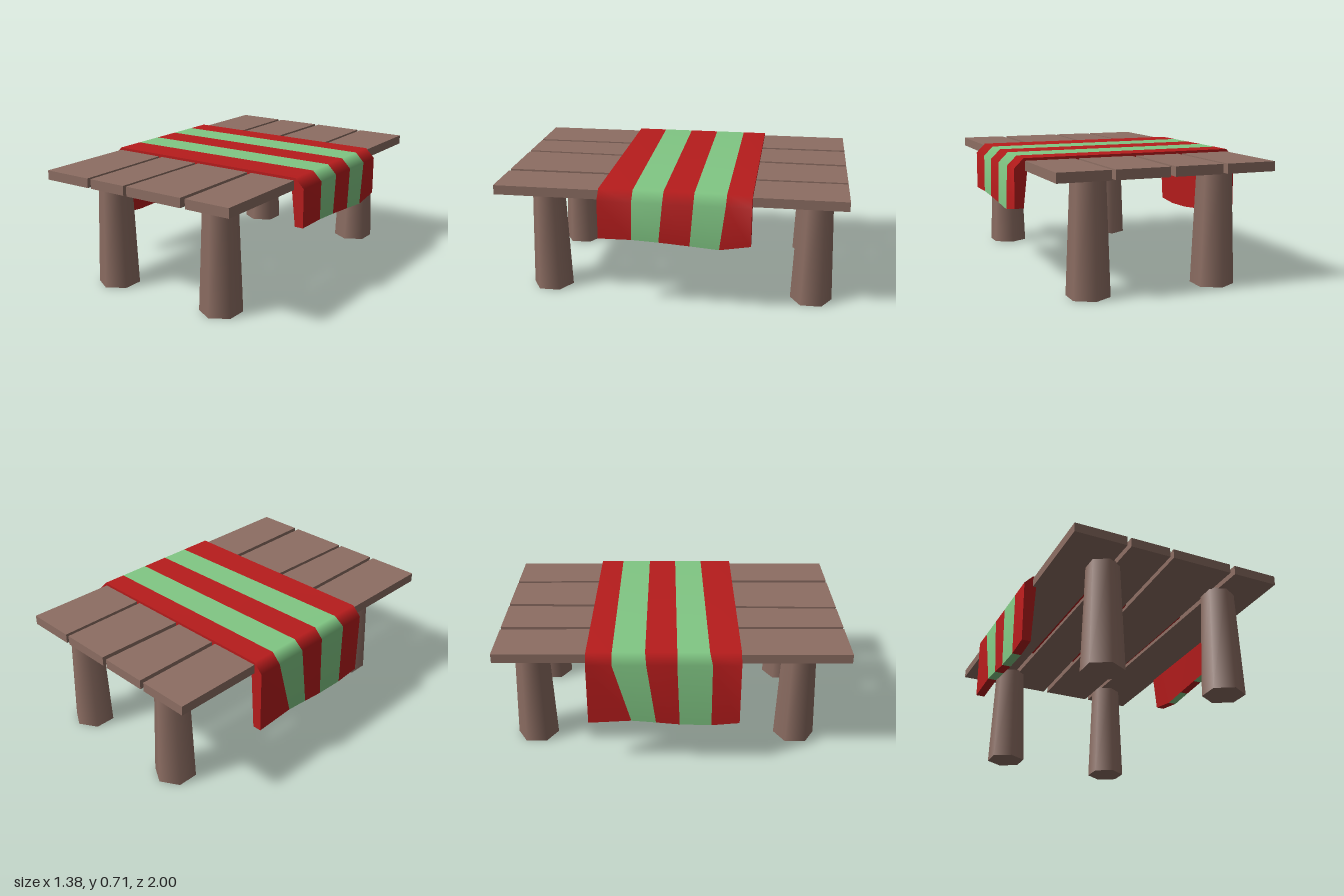
import * as THREE from 'three';

const brown = new THREE.MeshStandardMaterial({ color: 0x8d6e63 });
brown.name = 'brown wood';
const red = new THREE.MeshStandardMaterial({ color: 0xb71c1c });
red.name = 'red cloth';
const green = new THREE.MeshStandardMaterial({ color: 0x81c784 });
green.name = 'green cloth';

const PLANK_BOTTOM = 0.645, PLANK_TOP = 0.7;

// Plank with slightly skewed long edges: [left, right] at the back and at the front
function makePlank(back, front) {
  const geo = new THREE.BoxGeometry(1, PLANK_TOP - PLANK_BOTTOM, 2);
  const p = geo.attributes.position;
  for (let i = 0; i < p.count; i++) {
    const end = p.getZ(i) > 0 ? front : back;
    p.setX(i, end[p.getX(i) > 0 ? 1 : 0]);
  }
  geo.translate(0, (PLANK_TOP + PLANK_BOTTOM) / 2, 0);
  geo.computeVertexNormals();
  const mesh = new THREE.Mesh(geo, brown);
  mesh.name = 'plank';
  return mesh;
}

function makeLeg(x, z) {
  const h = PLANK_BOTTOM + 0.01;
  const mesh = new THREE.Mesh(new THREE.CylinderGeometry(0.097, 0.1225, h, 6), brown);
  mesh.position.set(x, h / 2, z);
  mesh.name = 'leg';
  return mesh;
}

// Indexed quads sorted into one group per material
function quadGeometry(points, quads) {
  const geo = new THREE.BufferGeometry().setFromPoints(points);
  const index = [];
  for (const m of [0, 1]) {
    const start = index.length;
    for (const [mat, a, b, c, d] of quads) if (mat === m) index.push(a, b, c, a, c, d);
    geo.addGroup(start, index.length - start, m);
  }
  geo.setIndex(index);
  return geo;
}

function makeRunner() {
  // Cross-section from the left hem over the top to the right hem
  const outer = [[-0.693, 0], [-0.693, 0.66], [-0.64, 0.715], [0.635, 0.715], [0.69, 0.66], [0.69, 0]];
  const inner = [[-0.64, 0], [-0.62, 0.645], [-0.615, 0.667], [0.61, 0.667], [0.615, 0.645], [0.638, 0]];
  // Stripe boundaries in z at each point of the cross-section, front to back
  const stripeZ = [
    [0.385, 0.225, 0.045, -0.09, -0.23, -0.475],
    [0.385, 0.225, 0.03, -0.14, -0.33, -0.475],
    [0.385, 0.21, 0.03, -0.147, -0.33, -0.475],
    [0.385, 0.19, 0.017, -0.155, -0.335, -0.475],
    [0.385, 0.19, 0.017, -0.155, -0.333, -0.475],
    [0.385, 0.195, 0.04, -0.135, -0.3, -0.475],
  ];
  // Uneven hem heights
  const hem = {
    0: [0.285, 0.27, 0.275, 0.288, 0.3, 0.285],
    5: [0.435, 0.437, 0.43, 0.418, 0.405, 0.435],
  };
  const N = 6;
  const grid = (profile) => {
    const pts = [];
    for (let i = 0; i < N; i++) {
      profile.forEach(([x, y], j) =>
        pts.push(new THREE.Vector3(x, hem[j] ? hem[j][i] : y, stripeZ[j][i])));
    }
    return pts;
  };
  const o = (i, j) => i * N + j;
  const n = (i, j) => N * N + i * N + j;

  const topQuads = [], liningQuads = [];
  for (let i = 0; i < N - 1; i++) {
    const mat = i % 2;
    for (let j = 0; j < N - 1; j++) {
      topQuads.push([mat, o(i, j), o(i, j + 1), o(i + 1, j + 1), o(i + 1, j)]);
      liningQuads.push([0, n(i, j), n(i + 1, j), n(i + 1, j + 1), n(i, j + 1)]);
    }
    // Hems
    liningQuads.push([mat, n(i, 0), o(i, 0), o(i + 1, 0), n(i + 1, 0)]);
    liningQuads.push([mat, o(i, 5), n(i, 5), n(i + 1, 5), o(i + 1, 5)]);
  }
  // Front and back edges
  for (let j = 0; j < N - 1; j++) {
    liningQuads.push([0, n(0, j), n(0, j + 1), o(0, j + 1), o(0, j)]);
    liningQuads.push([0, o(5, j), o(5, j + 1), n(5, j + 1), n(5, j)]);
  }

  const topGeo = quadGeometry(grid(outer), topQuads);
  topGeo.computeVertexNormals();
  const liningGeo = quadGeometry([...grid(outer), ...grid(inner)], liningQuads).toNonIndexed();
  liningGeo.computeVertexNormals();

  const group = new THREE.Group();
  group.name = 'tableRunner';
  const top = new THREE.Mesh(topGeo, [red, green]);
  top.name = 'runnerStripes';
  const lining = new THREE.Mesh(liningGeo, [red, green]);
  lining.name = 'runnerLiningAndEdges';
  group.add(top, lining);
  return group;
}

export function createModel() {
  const model = new THREE.Group();
  model.name = 'table';

  const tabletop = new THREE.Group();
  tabletop.name = 'tabletop';
  tabletop.add(
    makePlank([-0.64, -0.344], [-0.64, -0.33]),
    makePlank([-0.317, -0.034], [-0.306, -0.067]),
    makePlank([-0.005, 0.306], [-0.045, 0.322]),
    makePlank([0.328, 0.627], [0.353, 0.627]),
  );
  model.add(tabletop);

  const legs = new THREE.Group();
  legs.name = 'legs';
  for (const x of [-0.36, 0.392]) for (const z of [0.747, -0.823]) legs.add(makeLeg(x, z));
  model.add(legs);

  model.add(makeRunner());
  return model;
}
